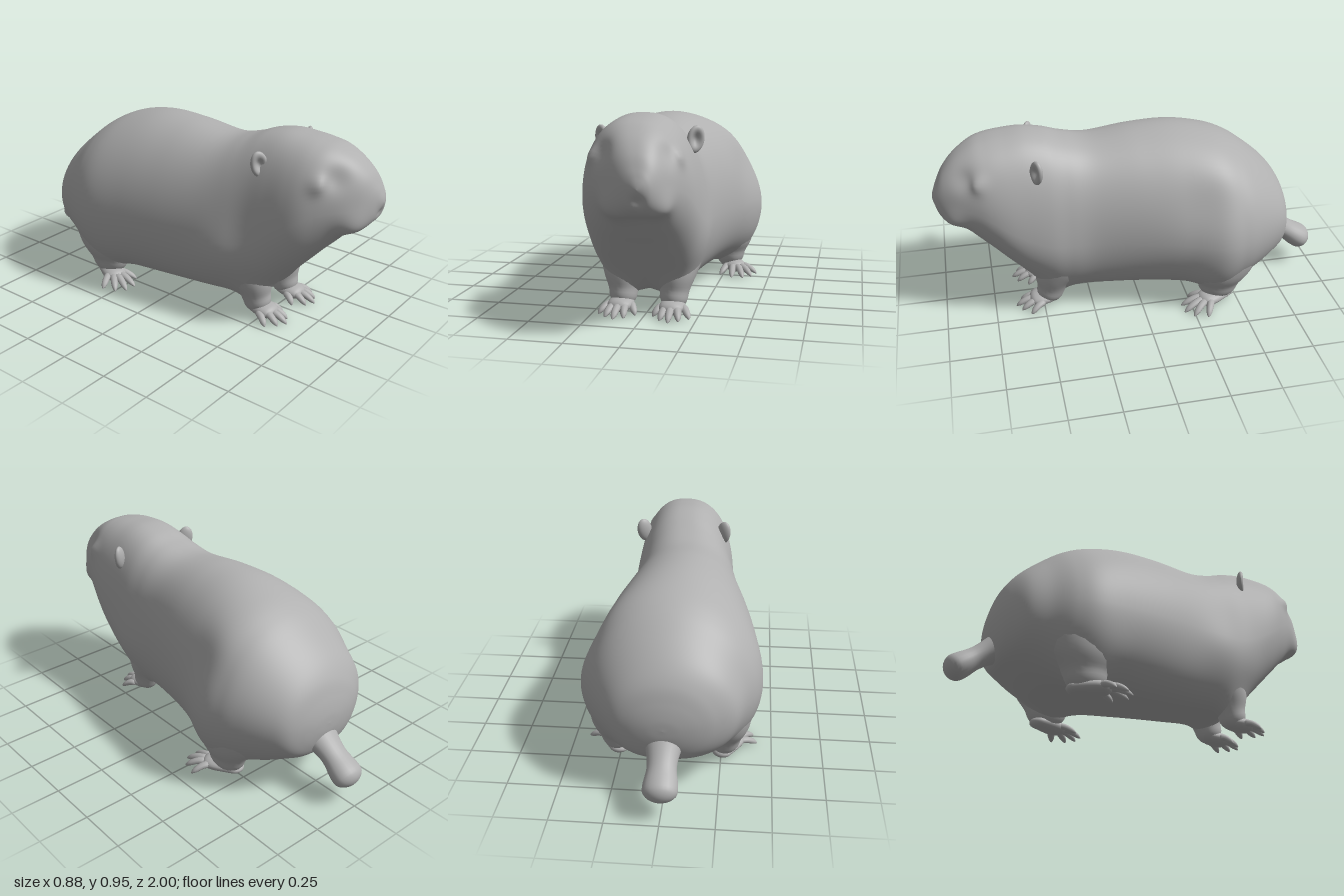
import * as THREE from 'three';

const fur = new THREE.MeshStandardMaterial({ color: 0xb0b0b0 });
fur.name = 'grey fur';

// Tube-like skin from a function (row 0..1, angle) -> Vector3
function skin(rows, cols, at) {
  const pos = [], idx = [];
  for (let i = 0; i <= rows; i++)
    for (let j = 0; j < cols; j++) pos.push(...at(i / rows, (j / cols) * Math.PI * 2).toArray());
  for (let i = 0; i < rows; i++)
    for (let j = 0; j < cols; j++) {
      const a = i * cols + j, b = i * cols + ((j + 1) % cols);
      idx.push(a, b, a + cols, b, b + cols, a + cols);
    }
  const g = new THREE.BufferGeometry();
  g.setAttribute('position', new THREE.Float32BufferAttribute(pos, 3));
  g.setIndex(idx);
  g.computeVertexNormals();
  return g;
}

function add(parent, name, geometry) {
  const m = new THREE.Mesh(geometry, fur);
  m.name = name;
  parent.add(m);
  return m;
}

// Swept limb through points [x, y, z, radius], flattened by `flat`, with rounded ends
function limb(points, flat = 1, ref = new THREE.Vector3(0, 1, 0), rows = 28, cols = 24) {
  const curve = new THREE.CatmullRomCurve3(points.map((p) => new THREE.Vector3(p[0], p[1], p[2])));
  const radii = new THREE.SplineCurve(points.map((p, i) => new THREE.Vector2(i, p[3])));
  const cap = 0.18;
  return skin(rows, cols, (u, a) => {
    // cluster rows toward the ends so the caps stay round
    const t = (1 - Math.cos(u * Math.PI)) / 2;
    const e = Math.min(1, Math.min(t, 1 - t) / cap);
    const r = radii.getPoint(t).y * Math.max(0.001, Math.sqrt(1 - (1 - e) * (1 - e)));
    const T = curve.getTangent(t);
    const N = new THREE.Vector3().crossVectors(ref, T).normalize();
    const B = new THREE.Vector3().crossVectors(T, N);
    return curve.getPoint(t).addScaledVector(N, r * Math.cos(a)).addScaledVector(B, r * flat * Math.sin(a));
  });
}

// Body sections: z, centre x, top y, widest y, bottom y, half width
const sections = [
  [-0.81, 0, 0.385, 0.385, 0.385, 0],
  [-0.806, 0, 0.44, 0.387, 0.33, 0.08],
  [-0.79, 0, 0.51, 0.39, 0.265, 0.165],
  [-0.76, 0, 0.59, 0.4, 0.21, 0.24],
  [-0.7, -0.01, 0.67, 0.41, 0.17, 0.31],
  [-0.6, 0, 0.76, 0.42, 0.12, 0.37],
  [-0.5, 0, 0.83, 0.42, 0.09, 0.42],
  [-0.38, 0, 0.88, 0.42, 0.075, 0.442],
  [-0.2, -0.018, 0.914, 0.43, 0.07, 0.4],
  [0, -0.025, 0.912, 0.44, 0.075, 0.355],
  [0.22, -0.022, 0.887, 0.44, 0.085, 0.307],
  [0.35, -0.012, 0.91, 0.44, 0.1, 0.288],
  [0.45, 0, 0.947, 0.45, 0.135, 0.279],
  [0.55, 0.004, 0.965, 0.49, 0.2, 0.272],
  [0.65, 0.006, 0.96, 0.55, 0.3, 0.264],
  [0.73, 0.01, 0.95, 0.61, 0.385, 0.245],
  [0.8, 0.02, 0.932, 0.65, 0.455, 0.212],
  [0.88, 0.037, 0.885, 0.67, 0.54, 0.162],
  [0.94, 0.055, 0.825, 0.68, 0.57, 0.112],
  [0.975, 0.07, 0.765, 0.68, 0.605, 0.07],
  [0.99, 0.08, 0.725, 0.685, 0.645, 0.035],
  [0.995, 0.08, 0.685, 0.685, 0.685, 0],
];

// Soft swellings and hollows: centre, radius, push
const swellings = [
  [-0.155, 0.79, 0.785, 0.04, -0.014, 0, 0.022], // right eyelid
  [0.205, 0.795, 0.77, 0.04, 0.012, 0, 0.018], // left eyelid
  [-0.1, 0.81, 0.85, 0.055, 0.008, -0.004, -0.014], // right hollow beside the bridge
  [0.17, 0.81, 0.84, 0.05, -0.008, -0.004, -0.012], // left hollow
  [-0.03, 0.6, 0.9, 0.075, -0.025, -0.015, 0.015], // right whisker pad
  [0.15, 0.6, 0.9, 0.06, 0.02, -0.015, 0.01], // left whisker pad
  [0.08, 0.69, 0.99, 0.035, 0, 0, 0.007], // nose
  [0.08, 0.635, 0.975, 0.025, 0, 0, -0.012], // split of the lip
  [-0.28, 0.36, 0.36, 0.16, -0.025, 0, 0], // right shoulder
  [0.28, 0.38, 0.4, 0.14, 0.008, 0, 0], // left shoulder
  [0.4, 0.63, -0.35, 0.17, -0.035, 0, 0], // leaner left hip
  [0.34, 0.2, -0.36, 0.13, 0.022, 0, 0], // left knee
  [-0.34, 0.2, -0.36, 0.13, -0.02, 0, 0], // right knee
  [0.125, 0.16, 0.45, 0.085, 0, -0.07, 0], // roots of the front legs
  [-0.125, 0.16, 0.45, 0.085, 0, -0.07, 0],
  [0.265, 0.12, -0.4, 0.1, 0, -0.05, 0], // roots of the hind legs
  [-0.265, 0.12, -0.4, 0.1, 0, -0.05, 0],
];

function bodyGeometry() {
  // Two curves sharing one parameter carry all six section values
  const curve = (a, b, c) =>
    new THREE.CatmullRomCurve3(sections.map((s) => new THREE.Vector3(s[a], s[b], s[c])), false, 'catmullrom', 0.5);
  const c1 = curve(0, 1, 5), c2 = curve(2, 3, 4);
  return skin(168, 88, (u, a) => {
    const p = c1.getPoint(u), q = c2.getPoint(u);
    const s = Math.sin(a), c = Math.cos(a);
    // fuller belly and chest, and a broader neck and crown
    const front = THREE.MathUtils.smoothstep(p.x, -0.1, 0.4);
    const power = s < 0 ? 0.76 - 0.1 * front : 1 - 0.2 * front;
    const across = Math.sign(c) * Math.pow(Math.abs(c), power);
    const v = new THREE.Vector3(p.y + p.z * across, q.y + s * (s > 0 ? q.x - q.y : q.y - q.z), p.x);
    const rest = v.clone();
    for (const [x, y, z, r, dx, dy, dz] of swellings) {
      const d2 = (rest.x - x) ** 2 + (rest.y - y) ** 2 + (rest.z - z) ** 2;
      v.addScaledVector(new THREE.Vector3(dx, dy, dz), Math.exp(-d2 / (r * r)));
    }
    return v;
  });
}

// Toes fanning from a knuckle to each tip, arched and tapering into claws
function toes(parent, name, s, knuckles, tips) {
  tips.forEach((t, i) => {
    const k = knuckles[i];
    const x = (f) => THREE.MathUtils.lerp(k[0], t[0], f) * s;
    const z = (f) => THREE.MathUtils.lerp(k[1], t[1], f);
    add(parent, name, limb([
      [x(0), 0.05, z(0), 0.021], [x(0.4), 0.047, z(0.4), 0.019],
      [x(0.75), 0.031, z(0.75), 0.016], [x(1), 0.014, z(1), 0.007],
    ], 0.85, undefined, 14, 10));
  });
}

// Cupped ear: a flat ellipsoid with a hollow pressed into its front
function earGeometry() {
  const g = new THREE.SphereGeometry(1, 28, 20);
  const p = g.attributes.position;
  for (let i = 0; i < p.count; i++) {
    const x = p.getX(i), y = p.getY(i), z = p.getZ(i);
    const dish = z > 0 ? 0.03 * Math.exp(-3.5 * (x * x + y * y)) : 0;
    p.setXYZ(i, x * 0.042, y * 0.064, z * 0.024 - dish);
  }
  g.computeVertexNormals();
  return g;
}

export function createModel() {
  const model = new THREE.Group();
  model.name = 'rodent';
  add(model, 'body', bodyGeometry());
  const forward = new THREE.Vector3(0, 0, 1);

  for (const s of [1, -1]) {
    const side = s > 0 ? 'left' : 'right';
    const ear = add(model, side + 'Ear', earGeometry());
    ear.position.set(s > 0 ? 0.232 : -0.207, s > 0 ? 0.843 : 0.838, 0.508);
    ear.rotation.set(0, s * 0.55, -s * 0.2);

    // Front leg and paw
    const front = new THREE.Group();
    front.name = side + 'FrontLeg';
    model.add(front);
    add(front, 'frontLeg', limb([
      [0.13 * s, 0.4, 0.36, 0.13], [0.13 * s, 0.28, 0.4, 0.12], [0.127 * s, 0.19, 0.44, 0.096],
      [0.124 * s, 0.11, 0.458, 0.07], [0.124 * s, 0.03, 0.485, 0.064],
    ], 1.05, forward));
    add(front, 'frontPaw', limb([
      [0.122 * s, 0.062, 0.42, 0.04], [0.123 * s, 0.055, 0.47, 0.056],
      [0.125 * s, 0.052, 0.52, 0.062], [0.128 * s, 0.045, 0.575, 0.05],
    ], 0.55));
    toes(front, 'frontToe', s,
      [[0.08, 0.5], [0.1, 0.53], [0.125, 0.54], [0.15, 0.53], [0.17, 0.5]],
      [[0.042, 0.565], [0.085, 0.62], [0.13, 0.645], [0.175, 0.62], [0.218, 0.575]]);

    // Hind leg and splayed foot
    const hind = new THREE.Group();
    hind.name = side + 'HindLeg';
    model.add(hind);
    add(hind, 'hindLeg', limb([
      [0.22 * s, 0.44, -0.42, 0.17], [0.25 * s, 0.3, -0.415, 0.155], [0.267 * s, 0.2, -0.405, 0.125],
      [0.267 * s, 0.12, -0.4, 0.085], [0.27 * s, 0.03, -0.39, 0.07],
    ], 1.3, forward));
    add(hind, 'hindFoot', limb([
      [0.235 * s, 0.045, -0.48, 0.045], [0.265 * s, 0.048, -0.42, 0.054],
      [0.3 * s, 0.048, -0.35, 0.06], [0.33 * s, 0.045, -0.29, 0.05],
    ], 0.55));
    toes(hind, 'hindToe', s,
      [[0.275, -0.35], [0.295, -0.32], [0.32, -0.31], [0.335, -0.32], [0.335, -0.35]],
      [[0.235, -0.245], [0.305, -0.195], [0.365, -0.2], [0.408, -0.24], [0.428, -0.31]]);
  }

  // Short blunt tail
  add(model, 'tail', limb([
    [0, 0.33, -0.68, 0.13], [0, 0.275, -0.775, 0.085], [0, 0.225, -0.85, 0.068],
    [0, 0.175, -0.92, 0.08], [0, 0.132, -0.985, 0.08],
  ], 0.78));
  return model;
}
